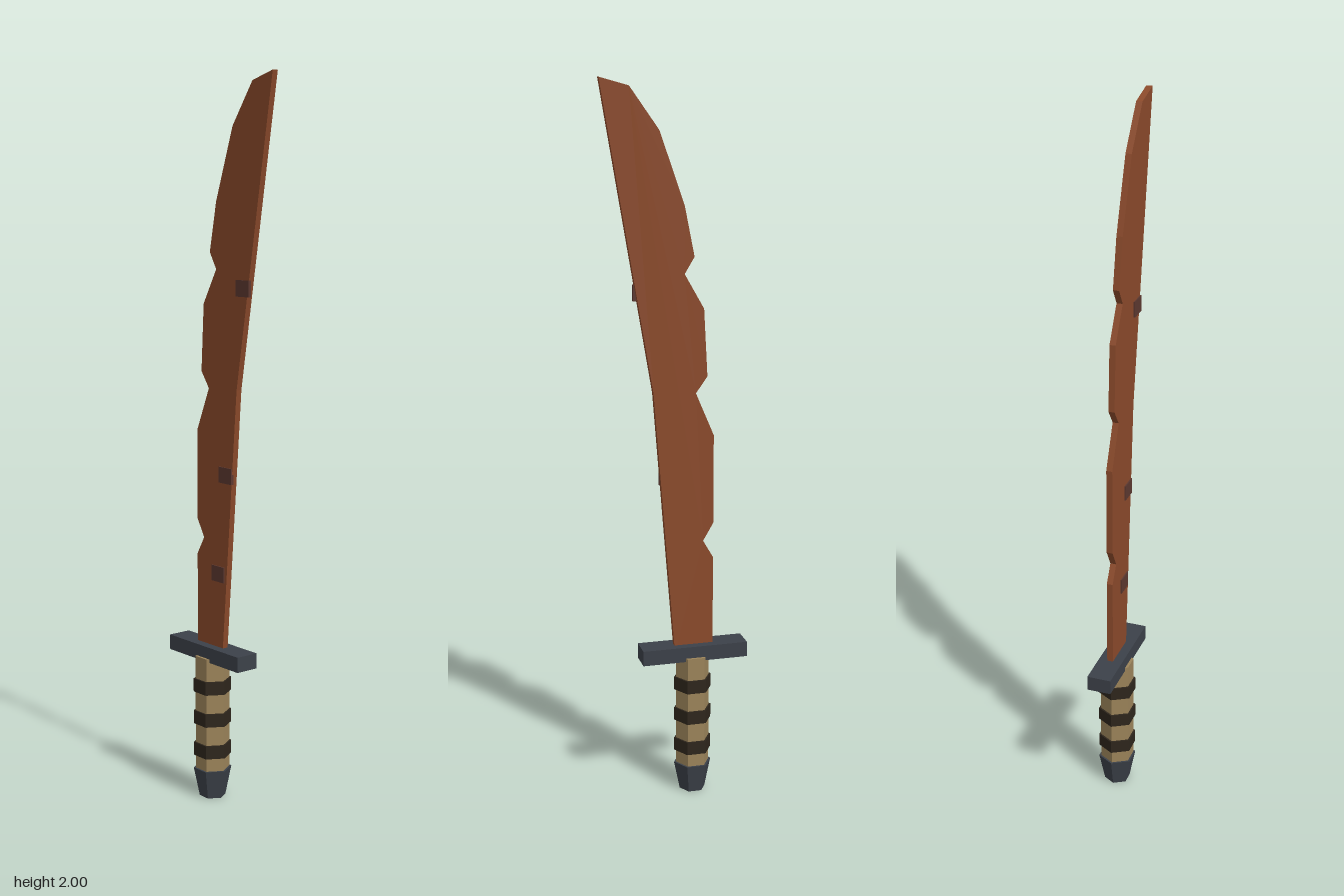
import * as THREE from 'three';

const mat = (name, color) => {
  const m = new THREE.MeshStandardMaterial({ color, flatShading: true });
  m.name = name;
  return m;
};

export function createModel() {
  const rust = mat('rusty blade', 0x8b4a2b);
  const stain = mat('dark rust', 0x5c3830);
  const steel = mat('dark steel', 0x3c4149);
  const wood = mat('tan grip', 0x9c845a);
  const leather = mat('dark binding', 0x2e261c);

  const model = new THREE.Group();
  model.name = 'machete';
  const gripX = -0.053;

  const add = (name, geometry, material, x, y, z = 0) => {
    const mesh = new THREE.Mesh(geometry, material);
    mesh.name = name;
    mesh.position.set(x, y, z);
    model.add(mesh);
  };
  // Six-sided handle section with flat faces to front and back
  const hex = (name, rTop, rBottom, y0, y1, material) =>
    add(name, new THREE.CylinderGeometry(rTop, rBottom, y1 - y0, 6, 1, false, Math.PI / 6),
      material, gripX, (y0 + y1) / 2);

  // Blade: curved outline with chips along the spine
  const outline = [
    [0, 0.42], [0.002, 0.44], [0.06, 1.17], [0.201, 2.0], [0.122, 1.978], [0.042, 1.865],
    [-0.026, 1.67], [-0.053, 1.535], [-0.026, 1.49], [-0.08, 1.395], [-0.09, 1.21],
    [-0.058, 1.165], [-0.109, 1.045], [-0.109, 0.795], [-0.08, 0.745], [-0.109, 0.695],
    [-0.109, 0.42],
  ].map(([x, y]) => new THREE.Vector2(x, y));
  const depth = 0.017;
  add('blade', new THREE.ExtrudeGeometry(new THREE.Shape(outline), { depth, bevelEnabled: false }),
    rust, 0, 0, -depth / 2 - 0.001);

  // Rust patches on the front face
  for (const [x, y] of [[-0.017, 0.652], [0.015, 0.932], [0.086, 1.443]]) {
    add('rustPatch', new THREE.BoxGeometry(0.053, 0.044, 0.009), stain, x, y, 0.0065);
  }

  // Guard, grip and pommel
  add('guard', new THREE.BoxGeometry(0.301, 0.043, 0.068), steel, gripX, 0.4215);
  hex('grip', 0.048, 0.048, 0.07, 0.41, wood);
  for (const y of [0.14, 0.233, 0.326]) {
    hex('gripBand', 0.0535, 0.0535, y - 0.019, y + 0.019, leather);
  }
  hex('pommel', 0.054, 0.037, 0, 0.083, steel);

  return model;
}
